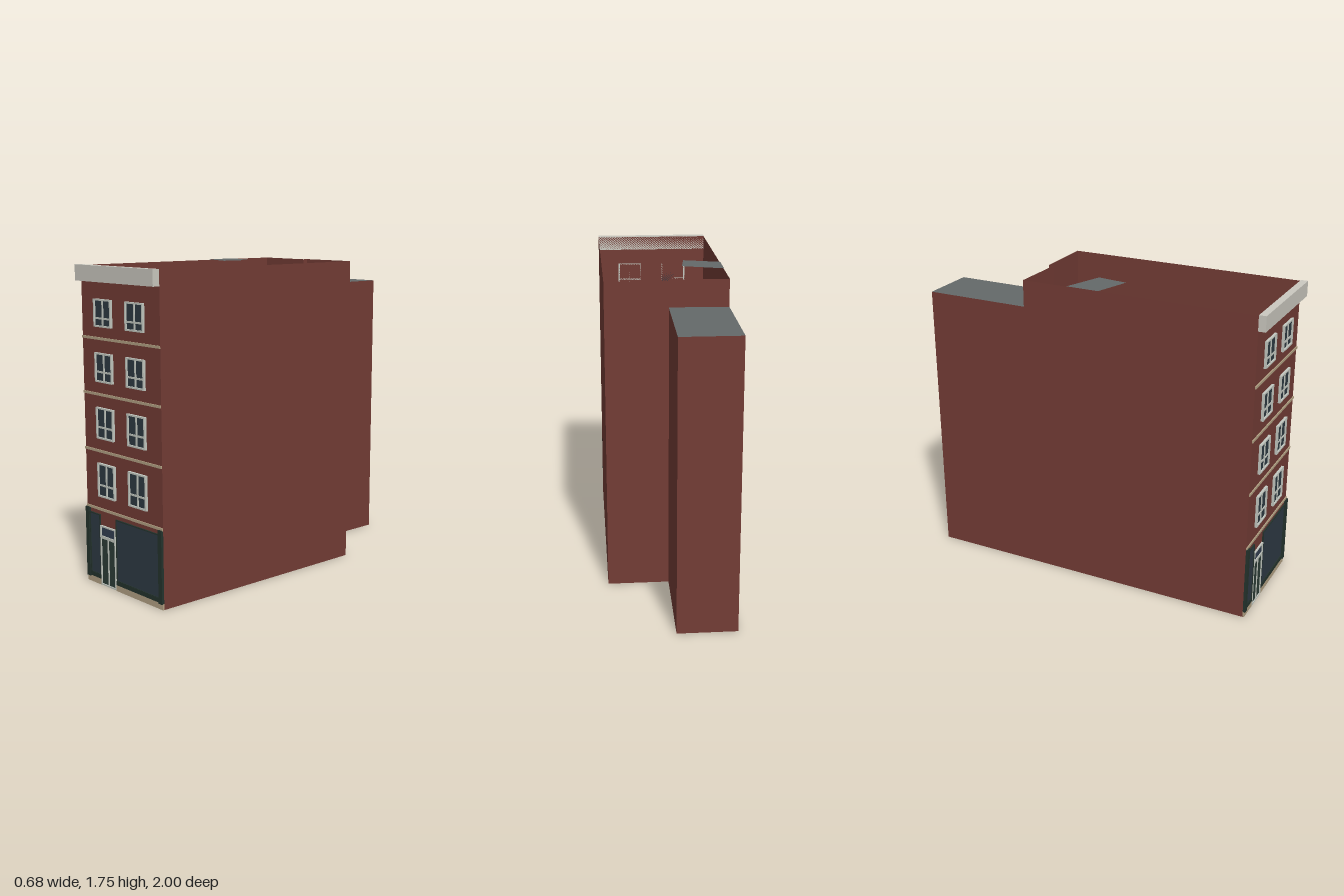
import * as THREE from 'three';

const paint = (name, color, side = THREE.FrontSide) => {
  const m = new THREE.MeshStandardMaterial({ color, side });
  m.name = name;
  return m;
};

export function createModel() {
  const brick = paint('brick', 0x733c35, THREE.DoubleSide);
  const slate = paint('roof grey', 0x646969, THREE.DoubleSide);
  const stone = paint('pale stone', 0xcbc9c0);
  const tan = paint('tan stone', 0xb3a284);
  const frame = paint('window frame', 0xc3c8c0);
  const glass = paint('window glass', 0x2e3b43);
  const shopGlass = paint('shop glass', 0x2e3a44);
  const transomGlass = paint('transom glass', 0x344052);
  const green = paint('dark green', 0x24332d);
  const doorGreen = paint('door green', 0x2c3d37);

  const model = new THREE.Group();
  model.name = 'townhouse';
  const FRONT = 0.96, TOP = 1.745, WING = 1.595;

  const add = (parent, name, geometry, material) => {
    const mesh = new THREE.Mesh(geometry, material);
    mesh.name = name;
    parent.add(mesh);
    return mesh;
  };

  // Upright wall between two plan points [x, z], facing right of travel
  const wall = (name, [x0, z0], [x1, z1], y0, y1) => {
    const geo = new THREE.PlaneGeometry(Math.hypot(x1 - x0, z1 - z0), y1 - y0);
    const mesh = add(model, name, geo, brick);
    mesh.position.set((x0 + x1) / 2, (y0 + y1) / 2, (z0 + z1) / 2);
    mesh.rotation.y = Math.atan2(z0 - z1, x1 - x0);
  };

  // Horizontal polygon through plan points [x, z]
  const slab = (name, points, y, material) => {
    const shape = new THREE.Shape(points.map(([x, z]) => new THREE.Vector2(x, -z)));
    const geo = new THREE.ShapeGeometry(shape);
    geo.rotateX(-Math.PI / 2);
    add(model, name, geo, material).position.y = y;
  };

  // Box on the facade, given by its extents and how far it stands out
  const block = (parent, name, x0, x1, y0, y1, depth, material) => {
    const geo = new THREE.BoxGeometry(x1 - x0, y1 - y0, depth);
    add(parent, name, geo, material)
      .position.set((x0 + x1) / 2, (y0 + y1) / 2, FRONT + depth / 2);
  };

  // Rectangular border made of four bars
  const border = (parent, name, x0, x1, y0, y1, w, depth, material) => {
    block(parent, name, x0, x0 + w, y0, y1, depth, material);
    block(parent, name, x1 - w, x1, y0, y1, depth, material);
    block(parent, name, x0 + w, x1 - w, y0, y0 + w, depth, material);
    block(parent, name, x0 + w, x1 - w, y1 - w, y1, depth, material);
  };

  const group = (name) => {
    const g = new THREE.Group();
    g.name = name;
    model.add(g);
    return g;
  };

  // Open-topped main shell and the narrower rear wing
  const A = [-0.342, FRONT], B = [0.33, FRONT], C = [0.34, -0.41], D = [-0.003, -0.41];
  const E = [0.005, -1], F = [-0.32, -1], G = [-0.326, -0.39], H = [-0.004, -0.38];
  wall('frontWall', A, B, 0, TOP);
  wall('rightSideWall', B, C, 0, TOP);
  wall('backWall', C, D, 0, TOP);
  wall('wingInnerWall', D, E, 0, WING);
  wall('wingBackWall', E, F, 0, WING);
  wall('wingOuterWall', F, G, 0, WING);
  wall('leftSideWall', G, A, 0, TOP);
  wall('upperBackReturn', D, H, WING, TOP);
  wall('upperBackWall', H, G, WING, TOP);
  slab('floor', [A, B, C, D, E, F, G], 0, brick);
  slab('wingRoof', [H, E, F, G], WING, slate);
  slab('roofPatch', [[-0.331, -0.12], [-0.106, -0.04], [-0.13, 0.135], [-0.334, 0.07]], 1.748, slate);

  // Cornice and string courses
  block(model, 'cornice', A[0], B[0], 1.665, 1.75, 0.04, stone);
  for (const y of [0.43, 0.755, 1.065, 1.365])
    block(model, 'stringCourse', A[0], B[0], y - 0.007, y + 0.007, 0.006, tan);

  // Four storeys of paired windows: bottom, top, crossbar height
  const rows = [[0.503, 0.69, 0.568], [0.825, 0.996, 0.888], [1.133, 1.29, 1.188], [1.427, 1.575, 1.473]];
  for (const [y0, y1, bar] of rows) {
    for (const x of [-0.145, 0.13]) {
      const win = group('window');
      const x0 = x - 0.076, x1 = x + 0.076;
      block(win, 'pane', x0 + 0.004, x1 - 0.004, y0 + 0.004, y1 - 0.004, 0.005, glass);
      border(win, 'casing', x0, x1, y0, y1, 0.009, 0.014, frame);
      block(win, 'mullion', x - 0.005, x + 0.005, y0 + 0.009, y1 - 0.009, 0.01, frame);
      block(win, 'crossbar', x0 + 0.009, x1 - 0.009, bar - 0.005, bar + 0.005, 0.009, frame);
    }
  }

  // Shopfront: plinths, pilasters and display windows
  const shop = group('shopfront');
  for (const [x0, x1] of [[A[0], -0.216], [-0.078, B[0]]])
    block(shop, 'plinth', x0, x1, 0, 0.034, 0.008, tan);
  for (const [x0, x1] of [[A[0], -0.313], [0.3, B[0]]])
    block(shop, 'pilaster', x0, x1, 0.03, 0.425, 0.014, green);
  for (const [x0, x1] of [[-0.313, -0.217], [-0.073, 0.3]]) {
    block(shop, 'stallRiser', x0, x1, 0.034, 0.058, 0.009, green);
    block(shop, 'displayGlass', x0 + 0.003, x1 - 0.003, 0.058, 0.396, 0.004, shopGlass);
    border(shop, 'displayFrame', x0, x1, 0.054, 0.4, 0.006, 0.008, green);
  }

  // Double door with a transom light
  const door = group('door');
  block(door, 'doorLeaves', -0.21, -0.083, 0.005, 0.275, 0.004, doorGreen);
  block(door, 'transomPane', -0.21, -0.083, 0.28, 0.335, 0.004, transomGlass);
  border(door, 'doorFrame', -0.215, -0.078, 0.003, 0.341, 0.008, 0.01, frame);
  block(door, 'transomBar', -0.207, -0.086, 0.268, 0.284, 0.009, frame);
  block(door, 'meetingStile', -0.151, -0.142, 0.011, 0.268, 0.008, frame);

  return model;
}
